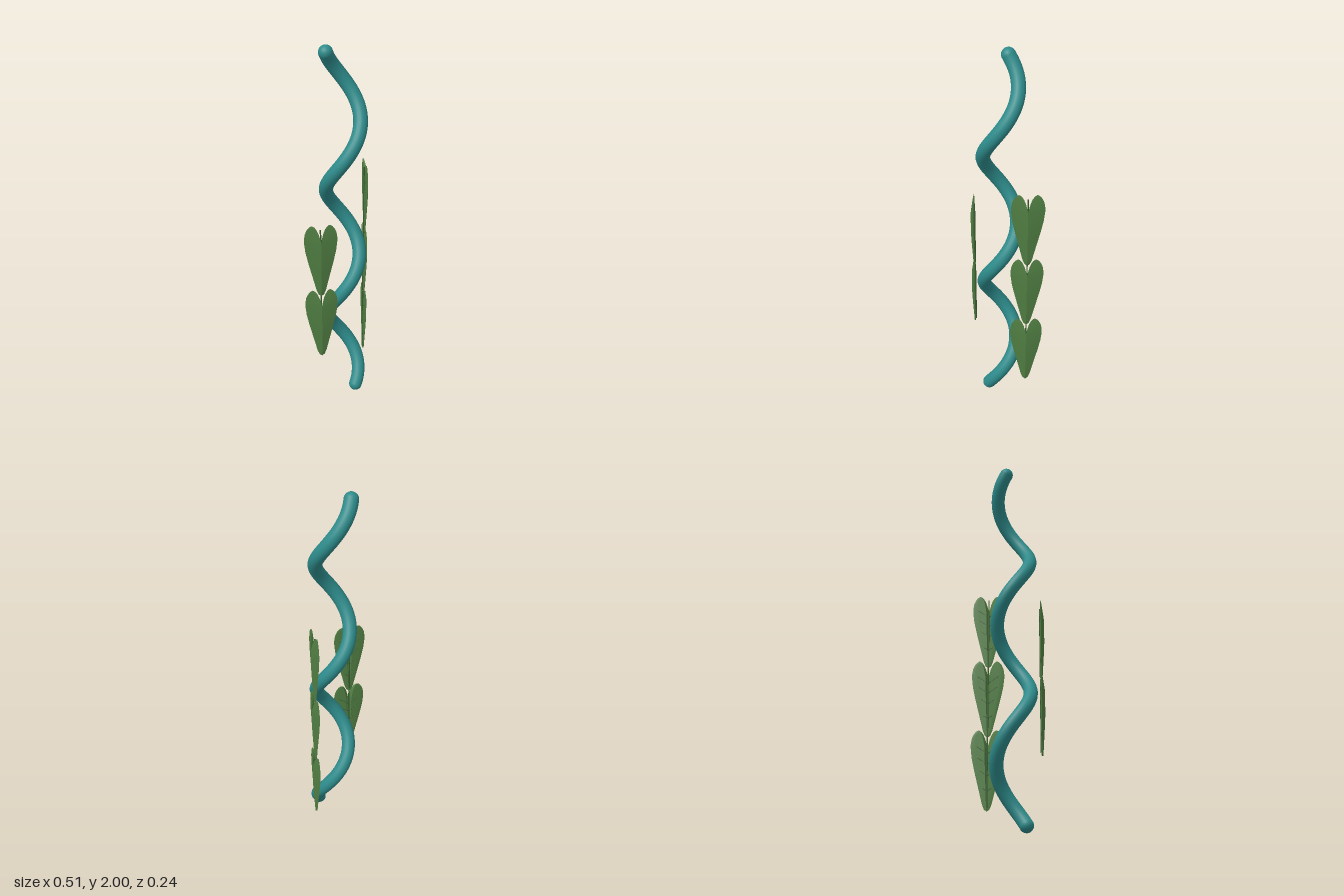
import * as THREE from 'three';
import { toCreasedNormals } from 'three/addons/utils/BufferGeometryUtils.js';

const teal = new THREE.MeshStandardMaterial({ color: 0x2e8b8b });
const green = new THREE.MeshStandardMaterial({ color: 0x517f43 });
const darkGreen = new THREE.MeshStandardMaterial({ color: 0x3a5f32 });

const LEAF_H = 0.42;
// heart outline from tip to lobe top: [height fraction, inner edge, outer edge]
const ROWS = [
  [0, 0, 0.004], [0.02, 0, 0.014], [0.08, 0, 0.024], [0.2, 0, 0.036], [0.35, 0, 0.051],
  [0.5, 0, 0.066], [0.65, 0, 0.079], [0.78, 0, 0.085], [0.82, 0.003, 0.085],
  [0.9, 0.012, 0.08], [0.95, 0.021, 0.071], [0.985, 0.031, 0.06], [1, 0.042, 0.049],
];

function mesh(name, geometry, material) {
  const m = new THREE.Mesh(geometry, material);
  m.name = name;
  return m;
}

// thin rod between two points
function rod(name, a, b, radius) {
  const curve = new THREE.LineCurve3(new THREE.Vector3(...a), new THREE.Vector3(...b));
  const m = mesh(name, new THREE.TubeGeometry(curve, 1, radius, 6), darkGreen);
  m.material = darkGreen;
  return m;
}

// one half of the blade: a lens section lofted from tip to lobe
function halfBlade(side) {
  const N = 6, ring = 2 * N, pos = [], idx = [];
  for (const [f, inner, outer] of ROWS) {
    const swell = Math.min(1, 0.3 + f * 1.5) * (f > 0.8 ? 1 - (f - 0.8) * 3 : 1);
    for (let i = 0; i < ring; i++) {
      const front = i <= N;
      const u = front ? i / N : (ring - i) / N;
      const x = inner + (outer - inner) * u;
      const lens = (1 - x / outer) * swell;
      pos.push(side * x, f * LEAF_H, front ? 0.001 + 0.017 * lens : -0.001 - 0.004 * lens);
    }
  }
  const tri = (a, b, c) => (side > 0 ? idx.push(a, b, c) : idx.push(a, c, b));
  for (let r = 0; r < ROWS.length - 1; r++) {
    for (let i = 0; i < ring; i++) {
      const a = r * ring + i, b = r * ring + (i + 1) % ring;
      tri(a, b, b + ring);
      tri(a, b + ring, a + ring);
    }
  }
  // close the tip and the lobe top
  const top = (ROWS.length - 1) * ring;
  for (let i = 1; i < ring - 1; i++) {
    tri(0, i + 1, i);
    tri(top, top + i, top + i + 1);
  }
  const g = new THREE.BufferGeometry();
  g.setAttribute('position', new THREE.Float32BufferAttribute(pos, 3));
  g.setIndex(idx);
  return toCreasedNormals(g, 0.6);
}

const halves = [1, -1].map(halfBlade);

function leaf(side, tipY) {
  const g = new THREE.Group();
  g.name = side > 0 ? 'leftLeaf' : 'rightLeaf';
  halves.forEach((h) => g.add(mesh('leafBlade', h, green)));
  g.add(rod('midrib', [0, 0.015, -0.003], [0, 0.395, -0.003], 0.004));
  // paired side veins on the inner face
  for (const s of [1, -1]) {
    for (const [y, w] of [[0.1, 0.022], [0.18, 0.035], [0.24, 0.048], [0.295, 0.055]]) {
      g.add(rod('sideVein', [0, y, -0.003], [s * w, y + w * 0.7, -0.001], 0.0025));
    }
  }
  g.position.set(side * 0.195, tipY, 0.001);
  g.rotation.y = side * Math.PI / 4;
  return g;
}

// rising helix of the stem
class Helix extends THREE.Curve {
  getPoint(t, target = new THREE.Vector3()) {
    const a = t * 2.55 * Math.PI * 2;
    return target.set(0.086 * Math.sin(a), 0.036 + 1.928 * t, 0.086 * Math.cos(a));
  }
}

export function createModel() {
  const model = new THREE.Group();
  model.name = 'climbingVine';

  // stem with rounded ends
  const helix = new Helix();
  const R = 0.036;
  model.add(mesh('stem', new THREE.TubeGeometry(helix, 160, R, 20), teal));
  for (const t of [0, 1]) {
    const cap = mesh('stemEnd', new THREE.SphereGeometry(R, 20, 14), teal);
    cap.position.copy(helix.getPoint(t));
    model.add(cap);
  }

  // leaves hanging in two columns
  for (const y of [0.13, 0.515, 0.9]) model.add(leaf(1, y));
  for (const y of [0.322, 0.707]) model.add(leaf(-1, y));
  return model;
}
